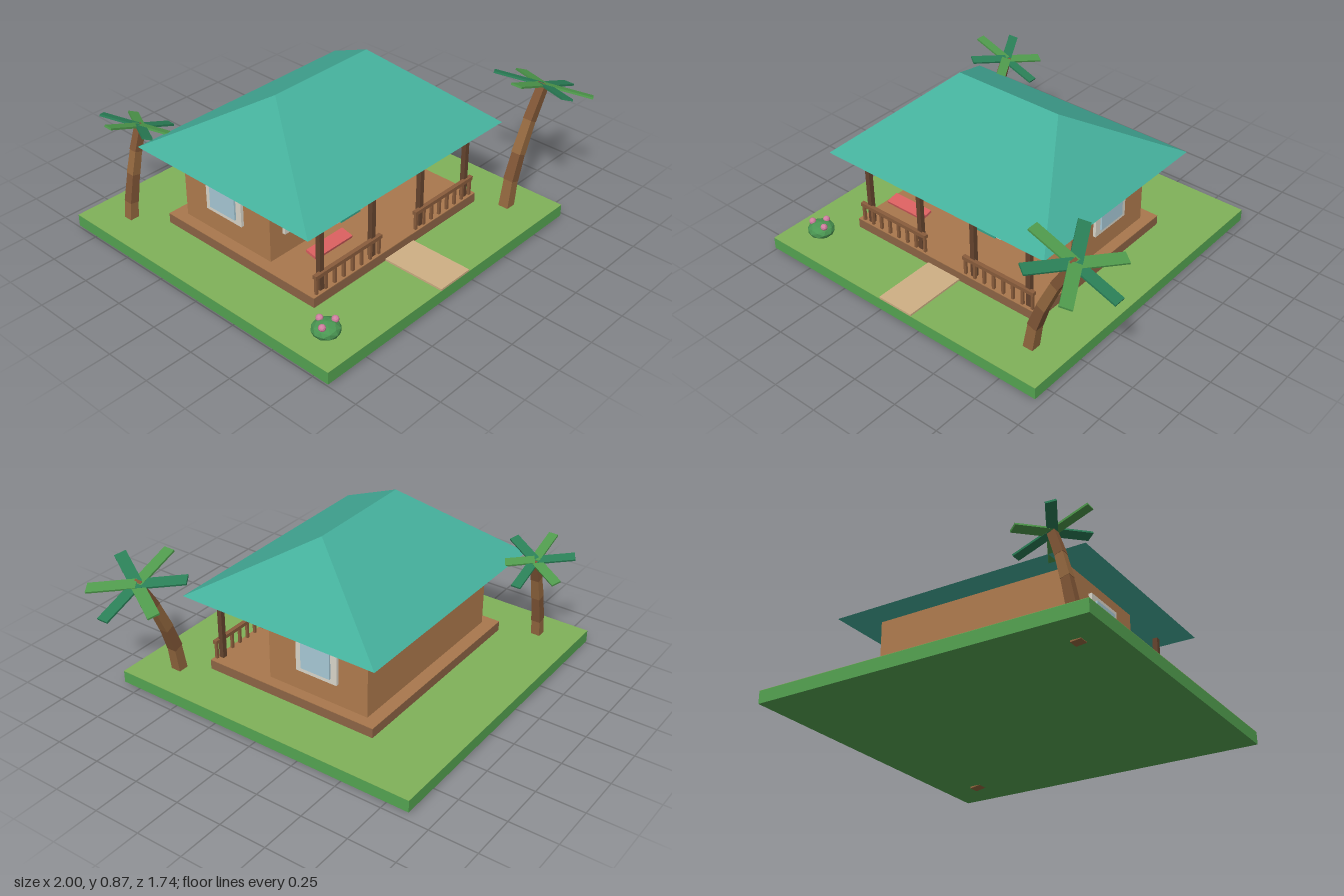
import * as THREE from 'three';

const C = {
  soil: 0x55a552, grass: 0x80b259, deck: 0x8f6546, plank: 0xa9784d, wall: 0xb27d4f, roof: 0x45b09c,
  frame: 0xdcd8cc, glass: 0xa9cbd8, door: 0x3aa58c, post: 0x66452f, rail: 0x8a5d3c,
  path: 0xcfb084, bench: 0xd95f5f, bark: 0x94683f, barkDark: 0x805636,
  leafLight: 0x4f9a4c, leafDark: 0x2a7f57, bush: 0x4a9652, flower: 0xcf7f9f,
};
const mats = {};
for (const k in C) mats[k] = new THREE.MeshStandardMaterial({ color: C[k], flatShading: true });

function add(parent, name, geo, mat) {
  const m = new THREE.Mesh(geo, mats[mat]);
  m.name = name;
  parent.add(m);
  return m;
}

// Box given by its extents on each axis
function box(parent, name, mat, x0, x1, y0, y1, z0, z1) {
  const m = add(parent, name, new THREE.BoxGeometry(x1 - x0, y1 - y0, z1 - z0), mat);
  m.position.set((x0 + x1) / 2, (y0 + y1) / 2, (z0 + z1) / 2);
  return m;
}

function group(parent, name) {
  const g = new THREE.Group();
  g.name = name;
  parent.add(g);
  return g;
}

// Hip roof: four eave corners and a two-point ridge, closed underneath
function roofGeometry(x0, x1, y0, y1, z0, z1, r0, r1) {
  const a = [x0, y0, z1], b = [x1, y0, z1], c = [x1, y0, z0], d = [x0, y0, z0];
  const p = [r0, y1, 0], q = [r1, y1, 0];
  const tris = [a, b, q, a, q, p, b, c, q, c, d, p, c, p, q, d, a, p, a, d, c, a, c, b];
  const geo = new THREE.BufferGeometry();
  geo.setAttribute('position', new THREE.Float32BufferAttribute(tris.flat(), 3));
  geo.computeVertexNormals();
  return geo;
}

// Framed window facing +z, its back on the wall
function windowUnit(parent, name, x, y, z, turn) {
  const g = group(parent, name);
  box(g, 'windowFrame', 'frame', -0.12, 0.12, -0.105, 0.105, -0.01, 0.016);
  box(g, 'windowGlass', 'glass', -0.085, 0.085, -0.078, 0.078, 0, 0.026);
  g.position.set(x, y, z);
  g.rotation.y = turn;
}

// Leaning palm: square tapered trunk segments and six flat fronds
function palm(parent, name, path, z, base, tip, reach, width) {
  const g = group(parent, name);
  const pts = path.map(([x, y]) => new THREE.Vector3(x, y, z));
  const up = new THREE.Vector3(0, 1, 0);
  const n = pts.length - 1;
  for (let i = 0; i < n; i++) {
    const dir = pts[i + 1].clone().sub(pts[i]);
    const w = THREE.MathUtils.lerp(base, tip, i / n) * Math.SQRT1_2;
    const geo = new THREE.CylinderGeometry(w * 0.88, w, dir.length() + 0.012, 4);
    geo.rotateY(Math.PI / 4);
    const seg = add(g, 'trunkSegment', geo, i % 2 ? 'barkDark' : 'bark');
    seg.position.copy(pts[i]).addScaledVector(dir, 0.5);
    seg.quaternion.setFromUnitVectors(up, dir.normalize());
  }
  const crown = group(g, 'crown');
  crown.position.copy(pts[n]);
  crown.rotation.z = -0.345;
  for (let i = 0; i < 6; i++) {
    const geo = new THREE.BoxGeometry(reach, 0.01, width);
    geo.translate(reach / 2, 0, 0);
    const leaf = add(crown, 'frond', geo, i % 2 ? 'leafLight' : 'leafDark');
    leaf.rotation.y = i * Math.PI / 3;
    leaf.position.y = i * 0.0006;
  }
}

export function createModel() {
  const root = new THREE.Group();
  root.name = 'beachHouse';

  // Ground and path
  box(root, 'ground', 'soil', -1, 0.715, 0.01, 0.074, -0.875, 0.842);
  box(root, 'grass', 'grass', -1, 0.715, 0.073, 0.0755, -0.875, 0.842);
  box(root, 'path', 'path', -0.245, -0.04, 0.075, 0.086, 0.49, 0.842);

  // House body
  const house = group(root, 'house');
  box(house, 'deck', 'deck', -0.73, 0.44, 0.07, 0.126, -0.49, 0.5);
  box(house, 'deckBoards', 'plank', -0.73, 0.44, 0.125, 0.129, -0.49, 0.5);
  box(house, 'walls', 'wall', -0.67, 0.382, 0.128, 0.527, -0.42, 0.163);
  add(house, 'roof', roofGeometry(-0.828, 0.539, 0.525, 0.868, -0.563, 0.565, -0.453, 0.167), 'roof');

  // Door and windows
  box(house, 'doorFrame', 'frame', -0.24, -0.05, 0.128, 0.452, 0.15, 0.179);
  box(house, 'door', 'door', -0.215, -0.078, 0.128, 0.422, 0.16, 0.189);
  windowUnit(house, 'frontRightWindow', -0.468, 0.354, 0.163, 0);
  windowUnit(house, 'frontLeftWindow', 0.182, 0.354, 0.163, 0);
  windowUnit(house, 'leftWindow', 0.382, 0.354, -0.132, Math.PI / 2);
  windowUnit(house, 'rightWindow', -0.67, 0.354, -0.132, -Math.PI / 2);

  // Porch posts
  for (const x of [-0.658, -0.311, 0.035, 0.379])
    box(house, 'porchPost', 'post', x - 0.013, x + 0.013, 0.128, 0.527, 0.457, 0.483);

  // Railings either side of the steps
  for (const [x0, x1] of [[-0.71, -0.265], [-0.02, 0.42]]) {
    const railing = group(house, 'railing');
    box(railing, 'handrail', 'rail', x0, x1, 0.215, 0.235, 0.474, 0.496);
    for (let i = 0; i < 8; i++) {
      const x = x0 + 0.012 + (x1 - x0 - 0.024) * i / 7;
      box(railing, 'baluster', 'rail', x - 0.007, x + 0.007, 0.128, 0.22, 0.478, 0.492);
    }
  }

  // Tilted bench board
  const bench = box(house, 'benchBoard', 'bench', -0.61, -0.37, 0.233, 0.247, 0.335, 0.403);
  bench.rotation.x = 0.22;

  // Palms
  palm(root, 'frontPalm', [[0.515, 0.01], [0.55, 0.22], [0.598, 0.355], [0.672, 0.515], [0.765, 0.672]],
    0.637, 0.058, 0.046, 0.25, 0.062);
  palm(root, 'backPalm', [[-0.835, 0.01], [-0.818, 0.17], [-0.79, 0.32], [-0.762, 0.44], [-0.725, 0.557]],
    -0.668, 0.052, 0.042, 0.2, 0.05);

  // Flowering bush
  const bush = group(root, 'bush');
  bush.position.set(-0.83, 0.115, 0.67);
  const leaves = add(bush, 'bushLeaves', new THREE.IcosahedronGeometry(0.07, 1), 'bush');
  leaves.scale.y = 0.62;
  for (const [x, z] of [[0, -0.04], [-0.042, 0.016], [0.042, 0.016]]) {
    const f = add(bush, 'flower', new THREE.IcosahedronGeometry(0.018, 1), 'flower');
    f.position.set(x, 0.037, z);
  }
  return root;
}
